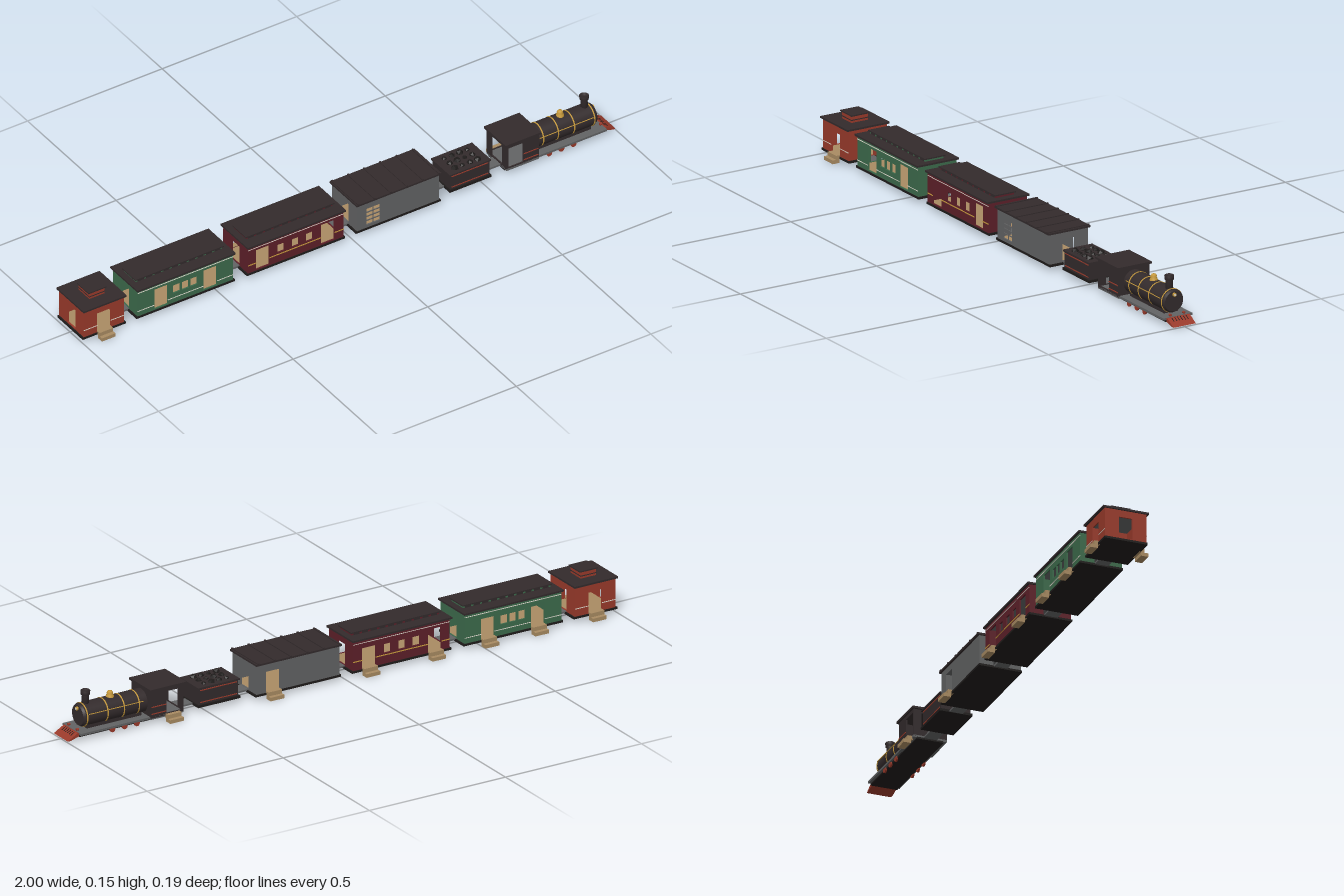
import * as THREE from 'three';

const mat = (name, hex, side = THREE.FrontSide) => {
  const m = new THREE.MeshStandardMaterial({ color: hex, side });
  m.name = name;
  return m;
};

export function createModel() {
  const train = new THREE.Group();
  train.name = 'train';
  const M = {
    dark: mat('dark iron', 0x332b2c),
    grey: mat('slate grey', 0x626364),
    green: mat('coach green', 0x3d6b4c),
    maroon: mat('coach maroon', 0x5e2029),
    red: mat('signal red', 0x9a3a2b),
    wood: mat('wood', 0xa98b62),
    gold: mat('brass', 0xc79a3c),
    white: mat('cream trim', 0xdcd8cc),
    black: mat('black', 0x1f1c1b),
  };
  let parent = train;

  const add = (name, geo, m, x = 0, y = 0, z = 0) => {
    const mesh = new THREE.Mesh(geo, m);
    mesh.name = name;
    mesh.position.set(x, y, z);
    parent.add(mesh);
    return mesh;
  };
  const box = (name, m, x0, x1, y0, y1, z0, z1) =>
    add(name, new THREE.BoxGeometry(x1 - x0, y1 - y0, z1 - z0), m, (x0 + x1) / 2, (y0 + y1) / 2, (z0 + z1) / 2);
  const section = (name) => {
    parent = new THREE.Group();
    parent.name = name;
    train.add(parent);
  };

  // Upright wall panel with rectangular holes [u0, u1, v0, v1]
  const T = 0.005;
  const panel = (u0, u1, v0, v1, holes) => {
    const rect = (P, a, b, c, d) => {
      const p = new P();
      p.moveTo(a, c); p.lineTo(b, c); p.lineTo(b, d); p.lineTo(a, d); p.closePath();
      return p;
    };
    const s = rect(THREE.Shape, u0, u1, v0, v1);
    for (const h of holes) s.holes.push(rect(THREE.Path, ...h));
    return new THREE.ExtrudeGeometry(s, { depth: T, bevelEnabled: false });
  };
  const sideWall = (m, x0, x1, y0, y1, w, side, holes) =>
    add('sideWall', panel(x0, x1, y0, y1, holes), m, 0, 0, side > 0 ? w - T : -w);
  const endWall = (m, x, w, y0, y1, holes) => {
    const mesh = add('endWall', panel(-w + T, w - T, y0, y1, holes), m, x, 0, 0);
    mesh.rotation.y = Math.PI / 2;
  };

  // Thin painted line along a side, broken where openings cross it
  const stripe = (m, x0, x1, y, h, w, side, holes) => {
    const gaps = holes.filter((o) => o[2] < y + h && o[3] > y).sort((a, b) => a[0] - b[0]);
    let start = x0;
    for (const g of [...gaps, [x1, x1]]) {
      const z = side * (w + 0.0005);
      if (g[0] > start) box('trimStripe', m, start, g[0], y, y + h, z - 0.001, z + 0.001);
      start = g[1];
    }
  };

  // Two-tread wooden boarding step
  const steps = (x, w, side) => {
    const tread = (a, b, y0, y1) =>
      box('boardingStep', M.wood, x - 0.025, x + 0.025, y0, y1, Math.min(side * a, side * b), Math.max(side * a, side * b));
    tread(w + 0.003, w + 0.027, 0, 0.012);
    tread(w - 0.004, w + 0.014, 0.012, 0.025);
  };

  // Hollow carriage with floor, walls and roof
  const car = (name, m, x0, x1, front, back, stripes) => {
    section(name);
    const w = 0.07, y0 = 0.02, y1 = 0.118;
    box('underframe', M.black, x0, x1, 0.013, 0.02, -0.072, 0.072);
    box('floor', M.wood, x0 + 0.01, x1 - 0.01, 0.02, 0.023, -w + T, w - T);
    box('ceiling', M.grey, x0 + 0.01, x1 - 0.01, 0.114, 0.118, -w + T, w - T);
    for (const [side, holes] of [[1, front], [-1, back]]) {
      sideWall(m, x0 + 0.005, x1 - 0.005, y0, y1, w, side, holes);
      for (const [sm, y, h] of stripes) stripe(sm, x0 + 0.005, x1 - 0.005, y, h, w, side, holes);
    }
    const door = [[-0.022, 0.022, 0.024, 0.095]];
    endWall(m, x0 + 0.005, w, y0, y1, door);
    endWall(m, x1 - 0.005 - T, w, y0, y1, door);
    box('roof', M.dark, x0, x1, 0.118, 0.124, -0.077, 0.077);
  };
  const doorHole = (x) => [x - 0.025, x + 0.025, 0.024, 0.098];
  const windowHole = (x) => [x - 0.013, x + 0.013, 0.056, 0.086];

  // Caboose with a roof lookout
  const cabooseHole = [[-0.945, -0.895, 0.024, 0.092]];
  car('caboose', M.red, -1, -0.84, cabooseHole, cabooseHole, [[M.white, 0.045, 0.002]]);
  box('lookout', M.red, -0.948, -0.892, 0.124, 0.146, -0.03, 0.03);
  box('lookoutBand', M.dark, -0.949, -0.891, 0.131, 0.134, -0.031, 0.031);
  box('lookoutRoof', M.dark, -0.953, -0.887, 0.146, 0.15, -0.033, 0.033);
  steps(-0.92, 0.07, 1);
  steps(-0.92, 0.07, -1);

  // Passenger coaches with raised roof lights
  const coach = (name, m, x0, x1, doors, windows, stripes) => {
    const holes = [...doors.map(doorHole), ...windows.map(windowHole)];
    car(name, m, x0, x1, holes, holes, stripes);
    doors.forEach((x) => steps(x, 0.07, -1));
    box('roofLight', m, x0 + 0.022, x1 - 0.022, 0.124, 0.132, -0.034, 0.034);
    box('roofLightTop', M.dark, x0 + 0.018, x1 - 0.018, 0.131, 0.135, -0.038, 0.038);
    const n = 10;
    for (let i = 0; i < n; i++) {
      const x = x0 + 0.04 + ((x1 - x0 - 0.08) * i) / (n - 1);
      box('roofLightPane', M.dark, x - 0.011, x + 0.011, 0.124, 0.131, -0.035, 0.035);
    }
  };
  coach('greenCoach', M.green, -0.8, -0.435, [-0.708, -0.525], [-0.65, -0.617, -0.585],
    [[M.white, 0.107, 0.002], [M.white, 0.038, 0.002]]);
  coach('maroonCoach', M.maroon, -0.39, -0.025, [-0.33, -0.088], [-0.262, -0.209, -0.156],
    [[M.gold, 0.048, 0.003], [M.white, 0.107, 0.0015]]);

  // Grey goods van with a barred opening
  car('goodsVan', M.grey, 0.015, 0.33, [[0.055, 0.107, 0.03, 0.092]], [doorHole(0.265)], []);
  for (let i = 1; i < 4; i++) box('bar', M.grey, 0.055, 0.107, 0.03 + i * 0.0155 - 0.0015, 0.03 + i * 0.0155 + 0.0015, 0.066, 0.069);
  box('bar', M.grey, 0.0795, 0.0825, 0.03, 0.092, 0.066, 0.069);
  for (let i = 0; i < 6; i++) {
    const x = 0.022 + i * 0.06;
    box('roofRib', M.dark, x - 0.003, x + 0.003, 0.124, 0.127, -0.077, 0.077);
  }
  steps(0.265, 0.07, -1);

  // Tender with coal
  section('tender');
  box('underframe', M.black, 0.375, 0.53, 0.016, 0.024, -0.055, 0.055);
  box('tank', M.dark, 0.38, 0.525, 0.024, 0.077, -0.05, 0.05);
  box('tankRim', M.dark, 0.376, 0.529, 0.077, 0.082, -0.054, 0.054);
  for (const s of [1, -1]) for (const y of [0.03, 0.07]) stripe(M.red, 0.385, 0.52, y, 0.003, 0.05, s, []);
  for (let i = 0; i < 12; i++) {
    const lump = add('coal', new THREE.IcosahedronGeometry(0.009 + (i % 3) * 0.002, 0), M.black,
      0.41 + (i % 4) * 0.028, 0.081, -0.03 + Math.floor(i / 4) * 0.03);
    lump.rotation.set(i, i * 2, 0);
  }

  // Locomotive cab
  section('cab');
  box('cabFloor', M.grey, 0.585, 0.705, 0.016, 0.024, -0.056, 0.056);
  box('underframe', M.black, 0.585, 0.96, 0.012, 0.018, -0.045, 0.045);
  const cabHoles = [[0.592, 0.648, 0.026, 0.1]];
  for (const s of [1, -1]) {
    sideWall(M.dark, 0.585, 0.705, 0.02, 0.112, 0.056, s, cabHoles);
    for (const y of [0.033, 0.056]) stripe(M.red, 0.655, 0.702, y, 0.003, 0.056, s, cabHoles);
  }
  endWall(M.dark, 0.585, 0.056, 0.02, 0.112, [[-0.03, 0.03, 0.026, 0.1]]);
  endWall(M.dark, 0.7, 0.056, 0.02, 0.112, []);
  box('cabRoof', M.dark, 0.578, 0.71, 0.112, 0.119, -0.062, 0.062);
  steps(0.625, 0.056, -1);

  // Boiler along x with brass bands
  section('locomotive');
  const alongX = (name, geo, m, x, y, z = 0) => (add(name, geo, m, x, y, z).rotation.z = -Math.PI / 2);
  box('runningBoard', M.grey, 0.705, 0.96, 0.018, 0.025, -0.053, 0.053);
  box('boilerSaddle', M.dark, 0.72, 0.92, 0.025, 0.04, -0.025, 0.025);
  alongX('boiler', new THREE.CylinderGeometry(0.038, 0.038, 0.225, 32), M.dark, 0.8175, 0.065);
  for (const x of [0.735, 0.79, 0.85, 0.925])
    alongX('boilerBand', new THREE.CylinderGeometry(0.0392, 0.0392, 0.004, 32), M.gold, x, 0.065);
  alongX('smokeboxDoor', new THREE.CylinderGeometry(0.033, 0.037, 0.008, 32), M.dark, 0.934, 0.065);

  // Chimney, dome and lamps
  const lathe = (name, pts, m, x, y) =>
    add(name, new THREE.LatheGeometry(pts.map((p) => new THREE.Vector2(...p)), 24), m, x, y, 0);
  lathe('chimney', [[0, 0], [0.012, 0], [0.011, 0.028], [0.0145, 0.03], [0.0155, 0.043], [0.011, 0.046], [0.009, 0.04], [0, 0.04]], M.dark, 0.91, 0.1);
  lathe('steamDome', [[0.013, 0], [0.012, 0.008], [0.009, 0.01], [0.01, 0.016], [0.007, 0.021], [0, 0.022]], M.gold, 0.82, 0.1);
  alongX('headlamp', new THREE.CylinderGeometry(0.006, 0.006, 0.012, 16), M.gold, 0.938, 0.088);
  alongX('headlampGlass', new THREE.CylinderGeometry(0.0035, 0.0035, 0.002, 16), M.white, 0.945, 0.088);
  for (const s of [1, -1]) {
    alongX('bufferLamp', new THREE.CylinderGeometry(0.004, 0.004, 0.008, 12), M.red, 0.955, 0.03, s * 0.025);
    box('handrail', M.gold, 0.72, 0.92, 0.076, 0.078, s * 0.039 - 0.001, s * 0.039 + 0.001);
    // Red driving wheels
    for (const x of [0.75, 0.795, 0.84]) {
      const wheel = add('wheel', new THREE.CylinderGeometry(0.0095, 0.0095, 0.006, 20), M.red, x, 0.0125, s * 0.046);
      wheel.rotation.x = Math.PI / 2;
    }
  }

  // Sloping cowcatcher with dark slats
  const wedge = new THREE.Shape([[0.955, 0.024], [0.955, 0.014], [0.99, 0.004], [1, 0.004], [0.965, 0.024]].map((p) => new THREE.Vector2(...p)));
  add('cowcatcher', new THREE.ExtrudeGeometry(wedge, { depth: 0.082, bevelEnabled: false }), M.red, 0, 0, -0.041);
  for (let i = 0; i < 6; i++) {
    const slat = box('cowcatcherSlat', M.black, 0.965, 0.981, 0.018, 0.0195, -0.026 + i * 0.0104 - 0.001, -0.026 + i * 0.0104 + 0.001);
    slat.rotation.z = -Math.atan2(0.02, 0.035);
    slat.position.y += 0.001;
  }

  // Gangway plates between vehicles
  section('couplings');
  for (const [a, b] of [[-0.845, -0.795], [-0.44, -0.385], [-0.03, 0.02], [0.325, 0.382], [0.522, 0.587]])
    box('gangwayPlate', M.grey, a, b, 0.017, 0.023, -0.022, 0.022);

  return train;
}
